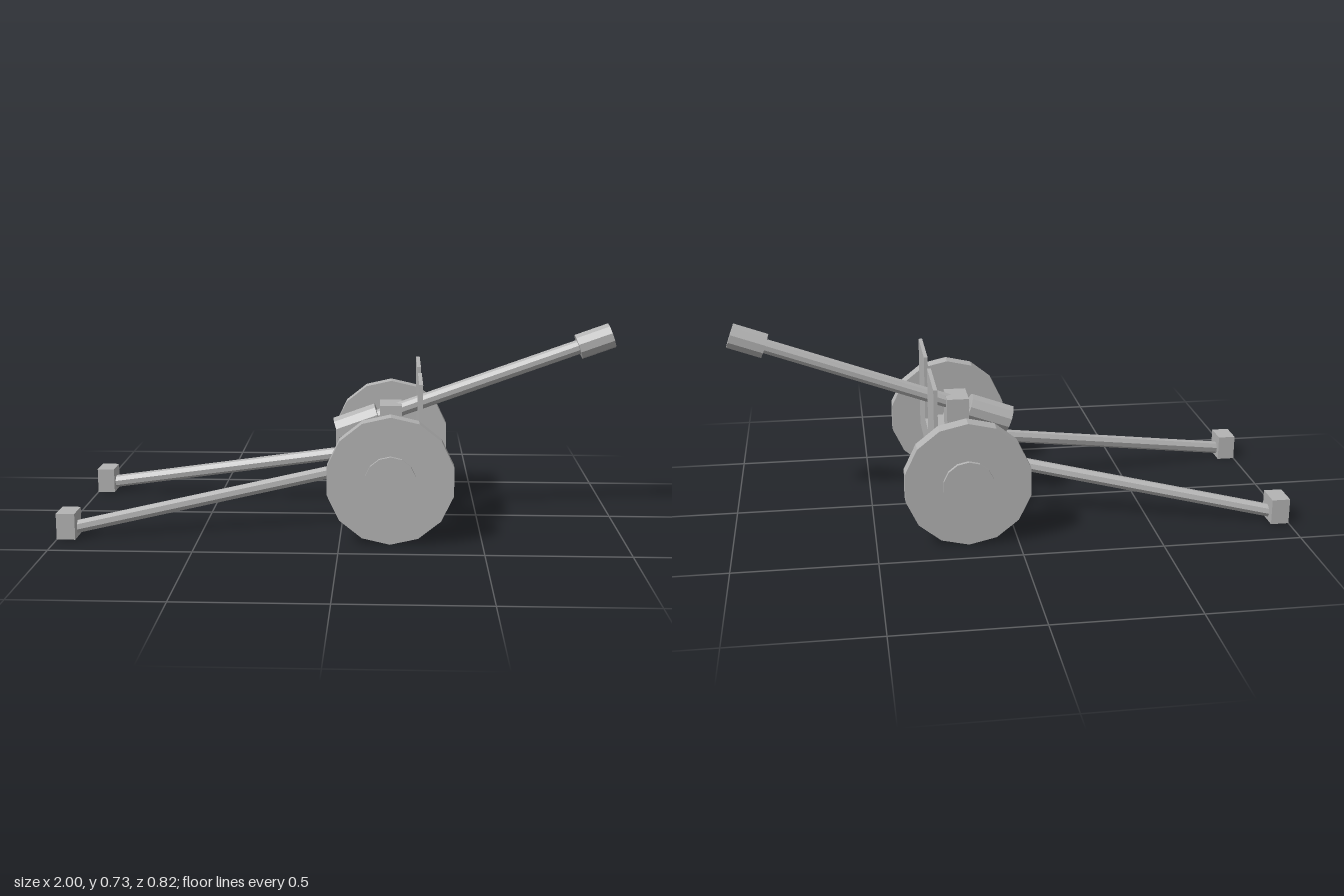
import * as THREE from 'three';

export function createModel() {
  const model = new THREE.Group();
  const grey = new THREE.MeshStandardMaterial({ color: 0xb4b4b4 });
  grey.name = 'plain grey';
  grey.flatShading = true;

  const add = (name, geometry) => {
    const mesh = new THREE.Mesh(geometry, grey);
    mesh.name = name;
    model.add(mesh);
    return mesh;
  };
  // Box given by its lower and upper corners
  const box = (name, a, b) =>
    add(name, new THREE.BoxGeometry(b[0] - a[0], b[1] - a[1], b[2] - a[2]))
      .position.set((a[0] + b[0]) / 2, (a[1] + b[1]) / 2, (a[2] + b[2]) / 2);
  // Faceted cylinder between two points
  const rod = (name, a, b, radius, sides, twist = 0) => {
    const start = new THREE.Vector3(...a), end = new THREE.Vector3(...b);
    const axis = end.clone().sub(start);
    const geometry = new THREE.CylinderGeometry(radius, radius, axis.length(), sides);
    geometry.rotateY(twist);
    const mesh = add(name, geometry);
    mesh.position.copy(start).add(end).multiplyScalar(0.5);
    mesh.quaternion.setFromUnitVectors(new THREE.Vector3(0, 1, 0), axis.normalize());
  };

  // Carriage, axle and barrel mount
  const axleX = 0.177, axleY = 0.227;
  rod('axle', [axleX, axleY, -0.36], [axleX, axleY, 0.36], 0.025, 8);
  box('carriage', [0.14, 0.198, -0.143], [0.277, 0.3, 0.143]);
  box('barrelMount', [0.136, 0.28, -0.063], [0.217, 0.429, 0.063]);

  // Wheels, hubs, trails and spades, mirrored
  for (const s of [1, -1]) {
    const side = s > 0 ? 'left' : 'right';
    rod(side + 'Wheel', [axleX, axleY, s * 0.335], [axleX, axleY, s * 0.394], 0.226, 14);
    rod(side + 'Hub', [axleX, axleY, s * 0.32], [axleX, axleY, s * 0.408], 0.09, 14);
    rod(side + 'Trail', [0.16, 0.236, s * 0.105], [-0.965, 0.029, s * 0.33], 0.024, 8);
    box(side + 'Spade', [-1, 0, s * 0.327 - 0.048], [-0.934, 0.094, s * 0.327 + 0.048]);
  }

  // Barrel parts share one axis raised by twenty degrees
  const onAxis = (x) => [x, 0.329 + (x - 0) * Math.tan(Math.PI / 9), 0];
  rod('breech', onAxis(-0.02), onAxis(0.132), 0.052, 10, Math.PI / 2);
  rod('barrel', onAxis(0.1), onAxis(0.9), 0.027, 10, Math.PI / 2);
  rod('muzzleBrake', onAxis(0.862), onAxis(0.982), 0.047, 10, Math.PI / 2);

  // Notched shield
  const outline = [
    [-0.32, 0.207], [0.32, 0.207], [0.32, 0.554], [0.068, 0.554],
    [0.068, 0.314], [-0.068, 0.314], [-0.068, 0.554], [-0.32, 0.554],
  ].map(([x, y]) => new THREE.Vector2(x, y));
  const shield = new THREE.ExtrudeGeometry(new THREE.Shape(outline), { depth: 0.014, bevelEnabled: false });
  shield.rotateY(Math.PI / 2);
  add('shield', shield).position.x = 0.274;

  return model;
}
